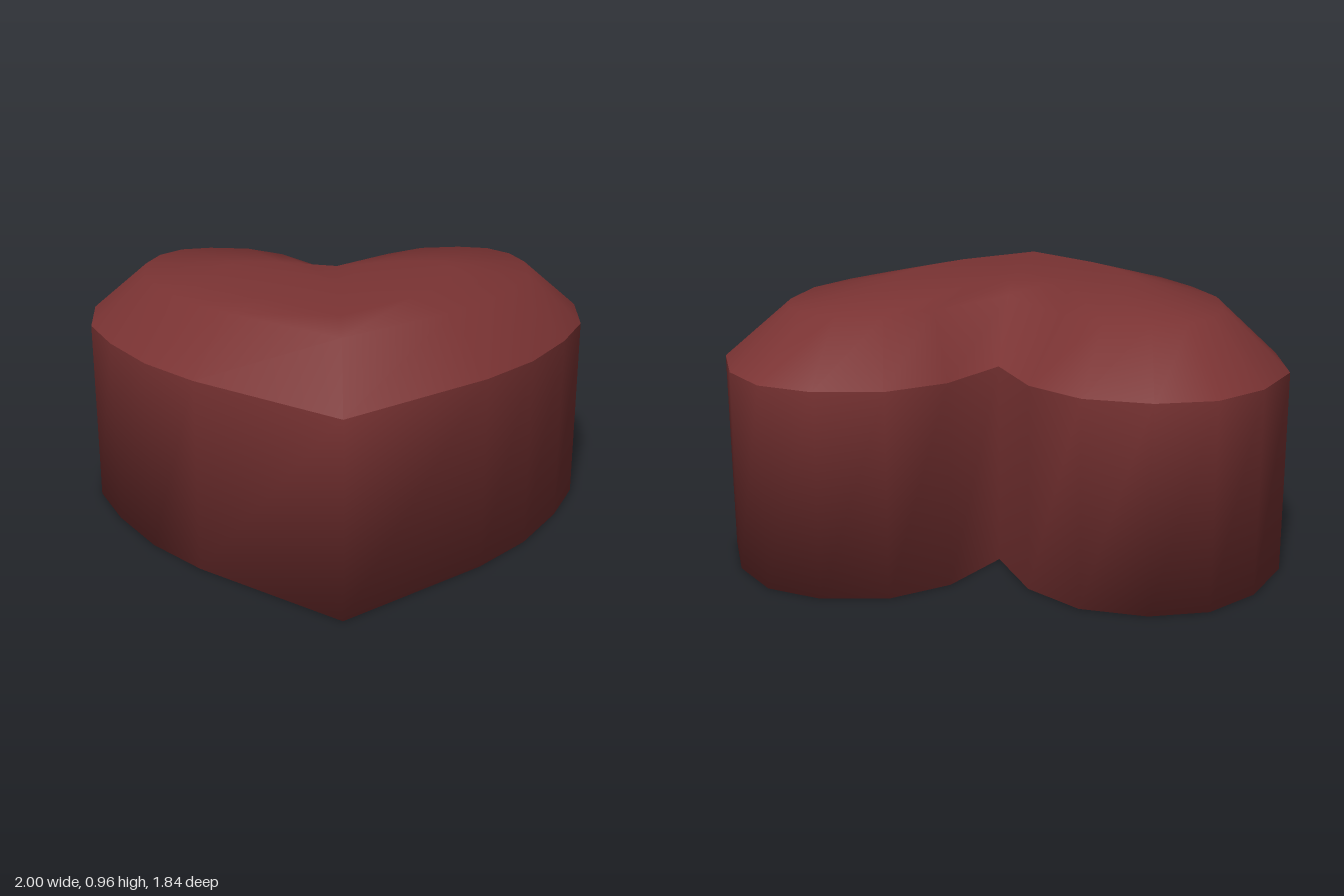
import * as THREE from 'three';

// Half outlines as [x, z], running from the back notch round the lobe to the front tip
const EDGE = [[0, -0.5], [0.135, -0.75], [0.32, -0.89], [0.55, -0.92], [0.75, -0.86], [0.9, -0.7],
  [1, -0.46], [0.97, -0.17], [0.86, 0.07], [0.7, 0.32], [0.51, 0.52], [0, 0.915]];
const SHOULDER = [[0, -0.22], [0.22, -0.54], [0.37, -0.65], [0.53, -0.67], [0.65, -0.64], [0.73, -0.54],
  [0.77, -0.39], [0.75, -0.16], [0.66, 0.04], [0.54, 0.23], [0.39, 0.38], [0, 0.68]];
const CROWN = [[0, -0.16], [0.13, -0.2], [0.22, -0.23], [0.32, -0.24], [0.39, -0.23], [0.43, -0.19],
  [0.45, -0.13], [0.44, -0.03], [0.4, 0.09], [0.34, 0.21], [0.26, 0.32], [0, 0.56]];

// Mirror a half outline into a closed ring at height y
function ring(half, y) {
  const mirrored = half.slice(1, -1).reverse().map(([x, z]) => [-x, z]);
  return [...half, ...mirrored].map(([x, z]) => [x, y, z]);
}

// Join rings from bottom to top, closing either end with a fan
function loft(rings, { bottom, top }) {
  const n = rings[0].length;
  const points = rings.flat();
  const index = [];
  for (let r = 0; r < rings.length - 1; r++) {
    for (let i = 0; i < n; i++) {
      const a = r * n + i, b = r * n + (i + 1) % n;
      index.push(b, a, a + n, b, a + n, b + n);
    }
  }
  const last = (rings.length - 1) * n;
  if (bottom) {
    const c = points.push(bottom) - 1;
    for (let i = 0; i < n; i++) index.push(c, i, (i + 1) % n);
  }
  if (top) {
    const c = points.push(top) - 1;
    for (let i = 0; i < n; i++) index.push(c, last + (i + 1) % n, last + i);
  }
  const geometry = new THREE.BufferGeometry();
  geometry.setAttribute('position', new THREE.Float32BufferAttribute(points.flat(), 3));
  geometry.setIndex(index);
  geometry.computeVertexNormals();
  return geometry;
}

export function createModel() {
  const group = new THREE.Group();
  group.name = 'heartBox';
  const red = new THREE.MeshStandardMaterial({ color: 0x7a3333 });
  red.name = 'dark red';

  // Straight walls and base, smooth round the lower rim
  const body = new THREE.Mesh(
    loft([ring(EDGE, 0), ring(EDGE, 0.72)], { bottom: [0, 0, 0] }), red);
  body.name = 'heartBody';

  // Bevelled lid, with a sharp rim where it meets the walls
  const lid = new THREE.Mesh(
    loft([ring(EDGE, 0.72), ring(SHOULDER, 0.92), ring(CROWN, 0.96)], { top: [0, 0.96, 0.1] }), red);
  lid.name = 'heartTop';

  group.add(body, lid);
  return group;
}
